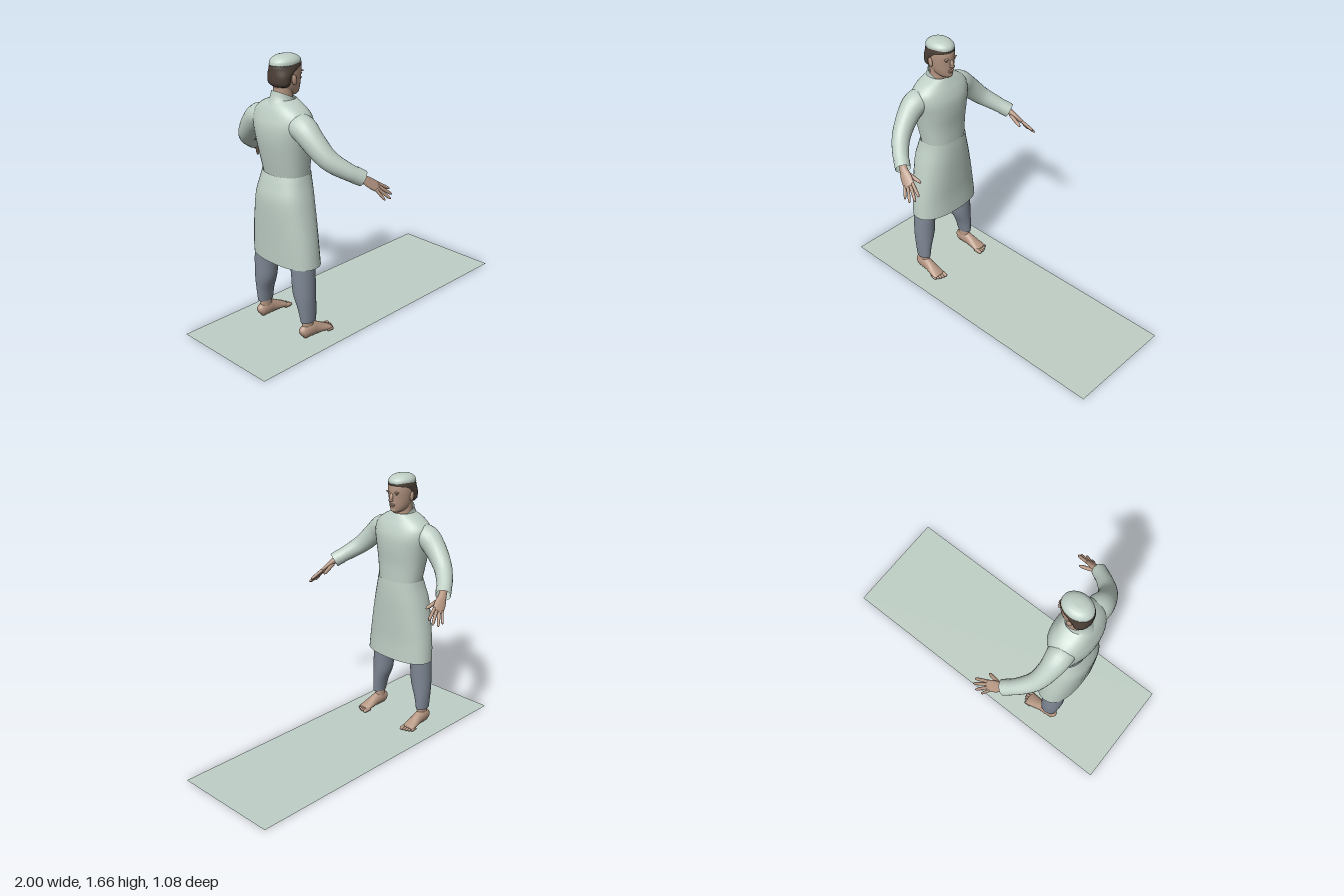
import * as THREE from 'three';

const paint = (name, color, side = THREE.FrontSide) => {
  const m = new THREE.MeshStandardMaterial({ color, side });
  m.name = name;
  return m;
};

// Skins a stack of closed rings, each an array of Vector3
function skin(rings, capped) {
  const n = rings[0].length, pos = [], idx = [];
  rings.forEach(r => r.forEach(p => pos.push(p.x, p.y, p.z)));
  for (let i = 0; i < rings.length - 1; i++)
    for (let j = 0; j < n; j++) {
      const a = i * n + j, b = i * n + (j + 1) % n;
      idx.push(a, a + n, b, b, a + n, b + n);
    }
  if (capped) [0, rings.length - 1].forEach((i, end) => {
    const c = rings[i].reduce((s, p) => s.add(p), new THREE.Vector3()).divideScalar(n);
    const k = pos.length / 3;
    pos.push(c.x, c.y, c.z);
    for (let j = 0; j < n; j++) {
      const a = i * n + j, b = i * n + (j + 1) % n;
      if (end) idx.push(a, k, b);
      else idx.push(a, b, k);
    }
  });
  const g = new THREE.BufferGeometry();
  g.setAttribute('position', new THREE.Float32BufferAttribute(pos, 3));
  g.setIndex(idx);
  g.computeVertexNormals();
  return g;
}

// Smoothly fills in the rows between key cross-sections (rows of equal length)
function refine(rows, steps = 4) {
  const w = rows[0].length;
  const curve = new THREE.CubicInterpolant(rows.map((_, i) => i), rows.flat(), w, new Float32Array(w));
  const out = [];
  for (let i = 0; i <= (rows.length - 1) * steps; i++) out.push(Array.from(curve.evaluate(i / steps)));
  return out;
}

const SEG = 32;
const bend = (c, e) => Math.sign(c) * Math.abs(c) ** e;

// Upright loft, rows rise: [y, back x, front x, half width, centre z, tilt]
function upright(rows, { capped = true, power = 1 } = {}) {
  return skin(refine(rows).map(([y, xb, xf, hz, cz = 0, tilt = 0]) =>
    Array.from({ length: SEG }, (_, j) => {
      const a = j / SEG * Math.PI * 2, c = bend(Math.cos(a), power), s = bend(Math.sin(a), power);
      return new THREE.Vector3((xb + xf) / 2 + (xf - xb) / 2 * c, y + tilt * c, cz + hz * s);
    })), capped);
}

// Loft along a path, rows: [x, y, z, half thickness, half width]; wide is the width direction
function limb(rows, { wide = null, capped = true, seg = 20 } = {}) {
  const r = refine(rows), at = i => new THREE.Vector3(...r[Math.min(Math.max(i, 0), r.length - 1)].slice(0, 3));
  return skin(r.map(([, , , ru, rv], i) => {
    const t = at(i + 1).sub(at(i - 1)).normalize();
    const v = wide ? wide.clone().addScaledVector(t, -wide.dot(t)) : t.clone().cross(new THREE.Vector3(0, 1, 0));
    v.normalize();
    const u = t.clone().cross(v);
    return Array.from({ length: seg }, (_, j) => {
      const a = j / seg * Math.PI * 2;
      return at(i).addScaledVector(u, ru * Math.cos(a)).addScaledVector(v, rv * Math.sin(a));
    });
  }), capped);
}

// Finger or toe from a to b with a rounded tip
function digit(a, b, r) {
  return limb([[0, 1], [0.45, 1], [0.85, 0.85], [1, 0.3]].map(([t, k]) =>
    [...a.map((v, i) => v + (b[i] - v) * t), r * k, r * k]), { seg: 10 });
}

export function createModel() {
  const cloth = paint('paleGreenCloth', 0xbfcfc6, THREE.DoubleSide);
  const trouser = paint('greyBlueCloth', 0x7f8895, THREE.DoubleSide);
  const flesh = paint('skin', 0xb59682);
  const dark = paint('darkHair', 0x4c4037);

  const model = new THREE.Group();
  model.name = 'standingManOnMat';
  const add = (name, geo, mat, parent = model) => {
    const m = new THREE.Mesh(geo, mat);
    m.name = name;
    parent.add(m);
    return m;
  };
  const ball = (name, mat, p, s, parent) => {
    const m = add(name, new THREE.SphereGeometry(1, 16, 12), mat, parent);
    m.position.set(...p);
    m.scale.set(...s);
    return m;
  };

  // Mat
  add('mat', new THREE.PlaneGeometry(2, 0.705).rotateX(-Math.PI / 2), cloth);

  // Robe: bodice, skirt and stand collar
  add('bodice', upright([
    [0.985, -0.595, -0.38, 0.147], [1.1, -0.618, -0.378, 0.163], [1.2, -0.634, -0.37, 0.18],
    [1.28, -0.634, -0.372, 0.195], [1.34, -0.618, -0.39, 0.188], [1.385, -0.6, -0.412, 0.14],
    [1.42, -0.575, -0.43, 0.07]], { capped: false, power: 0.88 }), cloth);
  add('skirt', upright([
    [0.46, -0.625, -0.38, 0.242], [0.58, -0.63, -0.383, 0.232], [0.7, -0.636, -0.378, 0.214],
    [0.85, -0.64, -0.372, 0.185], [0.94, -0.62, -0.372, 0.162], [0.995, -0.602, -0.375, 0.151]],
  { capped: false, power: 0.85 }), cloth);
  add('collar', upright([
    [1.375, -0.595, -0.412, 0.09, 0, -0.02], [1.408, -0.575, -0.428, 0.068, 0, -0.03],
    [1.437, -0.567, -0.425, 0.064, 0, -0.034]], { capped: false }), cloth);

  // Head
  const head = new THREE.Group();
  head.name = 'head';
  model.add(head);
  add('neck', upright([[1.36, -0.56, -0.445, 0.055], [1.42, -0.555, -0.447, 0.052],
    [1.5, -0.555, -0.44, 0.054]]), flesh, head);
  add('face', upright([
    [1.428, -0.455, -0.41, 0.018], [1.442, -0.51, -0.396, 0.04], [1.475, -0.55, -0.39, 0.058],
    [1.52, -0.567, -0.386, 0.068], [1.57, -0.57, -0.381, 0.073], [1.61, -0.567, -0.388, 0.07],
    [1.645, -0.53, -0.43, 0.04]]), flesh, head);
  add('hair', upright([
    [1.492, -0.56, -0.49, 0.06], [1.51, -0.576, -0.475, 0.074], [1.55, -0.579, -0.462, 0.078],
    [1.585, -0.578, -0.4, 0.078], [1.6, -0.577, -0.382, 0.077], [1.625, -0.568, -0.387, 0.073]]), dark, head);
  add('cap', upright([
    [1.608, -0.578, -0.382, 0.075], [1.632, -0.571, -0.388, 0.072],
    [1.652, -0.545, -0.415, 0.052], [1.661, -0.51, -0.45, 0.022]]), cloth, head);
  ball('nose', flesh, [-0.383, 1.53, 0], [0.012, 0.03, 0.012], head).rotation.z = 0.25;
  ball('noseTip', flesh, [-0.378, 1.512, 0], [0.012, 0.009, 0.017], head);
  ball('upperLip', flesh, [-0.391, 1.482, 0], [0.01, 0.005, 0.022], head);
  ball('lowerLip', flesh, [-0.392, 1.473, 0], [0.01, 0.005, 0.019], head);
  ball('chin', flesh, [-0.408, 1.447, 0], [0.016, 0.015, 0.024], head);

  for (const s of [1, -1]) {
    const side = s > 0 ? 'front' : 'rear';
    const mir = p => p.map((v, i) => i === 2 ? v * s : v);

    // Ear, brow and eye
    ball(side + 'Ear', flesh, [-0.485, 1.53, 0.077 * s], [0.017, 0.03, 0.009], head).rotation.z = 0.15;
    ball(side + 'Brow', flesh, [-0.393, 1.56, 0.03 * s], [0.01, 0.006, 0.02], head);
    ball(side + 'Eye', dark, [-0.394, 1.547, 0.031 * s], [0.005, 0.003, 0.01], head);

    // Sleeve and cuff
    const arm = new THREE.Group();
    arm.name = side + 'Arm';
    model.add(arm);
    add('sleeve', limb([
      [-0.515, 1.29, 0.1, 0.07, 0.075], [-0.52, 1.285, 0.18, 0.074, 0.078], [-0.515, 1.22, 0.255, 0.068, 0.066],
      [-0.485, 1.135, 0.337, 0.058, 0.056], [-0.42, 1.075, 0.405, 0.049, 0.049],
      [-0.352, 1.03, 0.452, 0.042, 0.043]].map(mir), { capped: false }), cloth, arm);
    add('cuff', limb([[-0.385, 1.052, 0.43, 0.048, 0.048], [-0.345, 1.026, 0.457, 0.046, 0.046]].map(mir),
      { capped: false }), cloth, arm);

    // Hand
    add('palm', limb([
      [-0.39, 1.055, 0.425, 0.022, 0.026], [-0.345, 1.025, 0.453, 0.02, 0.025],
      [-0.305, 0.993, 0.471, 0.016, 0.036], [-0.265, 0.964, 0.487, 0.012, 0.036],
      [-0.255, 0.957, 0.49, 0.006, 0.03]].map(mir),
    { wide: new THREE.Vector3(-0.76, -0.43, 0.49 * s) }), flesh, arm);
    [['thumb', [-0.325, 1.005, 0.448], [-0.225, 0.968, 0.428], 0.012],
      ['indexFinger', [-0.25, 0.978, 0.472], [-0.172, 0.928, 0.495], 0.01],
      ['middleFinger', [-0.26, 0.968, 0.482], [-0.178, 0.903, 0.519], 0.01],
      ['ringFinger', [-0.272, 0.96, 0.491], [-0.208, 0.89, 0.538], 0.0095],
      ['littleFinger', [-0.287, 0.957, 0.5], [-0.25, 0.892, 0.536], 0.0085],
    ].forEach(([name, a, b, r]) => add(name, digit(mir(a), mir(b), r), flesh, arm));

    // Trouser leg
    const leg = new THREE.Group();
    leg.name = side + 'Leg';
    model.add(leg);
    add('trouserLeg', upright([
      [0.115, -0.57, -0.465, 0.034, 0.191], [0.2, -0.581, -0.46, 0.046, 0.184],
      [0.3, -0.594, -0.455, 0.065, 0.167], [0.45, -0.597, -0.447, 0.068, 0.157],
      [0.65, -0.6, -0.43, 0.08, 0.125], [0.9, -0.6, -0.42, 0.085, 0.085]]
      .map(r => [...r.slice(0, 4), r[4] * s]), { capped: false }), trouser, leg);

    // Foot: ankle, sole and toes
    add('ankle', upright([[0.04, -0.565, -0.465, 0.03, 0.188 * s], [0.09, -0.558, -0.478, 0.027, 0.186 * s],
      [0.17, -0.555, -0.485, 0.028, 0.188 * s]]), flesh, leg);
    add('foot', limb([
      [-0.573, 0.04, 0.188, 0.016, 0.014], [-0.56, 0.046, 0.188, 0.038, 0.028],
      [-0.515, 0.054, 0.189, 0.046, 0.034], [-0.47, 0.048, 0.191, 0.04, 0.034],
      [-0.42, 0.035, 0.194, 0.027, 0.04], [-0.38, 0.025, 0.196, 0.017, 0.043],
      [-0.362, 0.021, 0.196, 0.011, 0.038]].map(mir)), flesh, leg);
    for (let k = 0; k < 5; k++) {
      const z = 0.163 + k * 0.0165 + (k ? 0.004 : 0), r = k ? 0.009 : 0.013;
      add('toe' + (k + 1), digit([-0.385 - k * 0.004, 0.02, z * s],
        [-0.33 - k * k * 0.0017, 0.016, (z + 0.002) * s], r), flesh, leg);
    }
  }
  return model;
}
